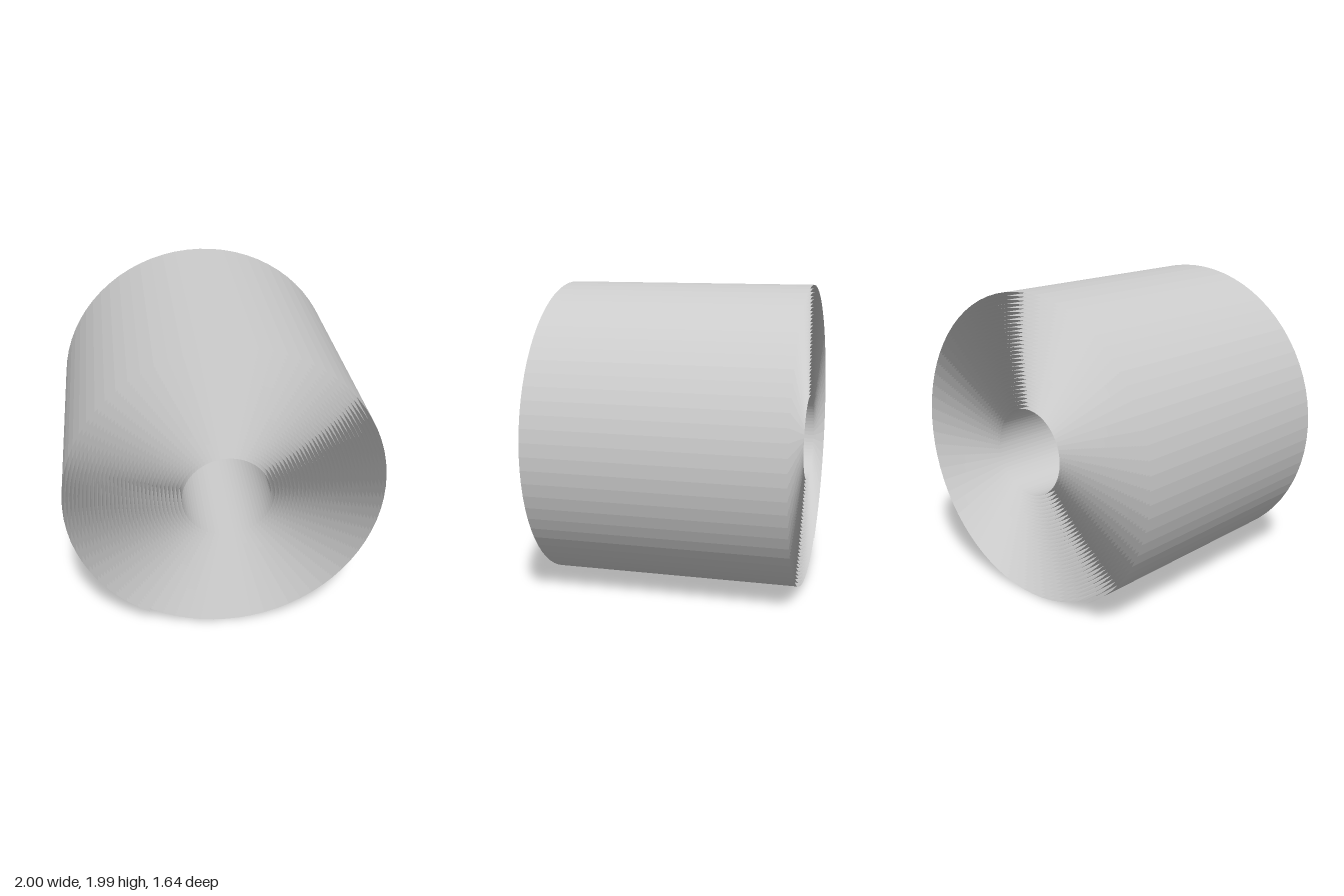
import * as THREE from 'three';

const TURNS = 30 + 2 / 3;      // the loose end stops at 240 degrees
const STEPS_PER_TURN = 72;
const INNER_RADIUS = 0.27;
const OUTER_RADIUS = 1.01;
const WIDTH = 1.64;

// A flat strip wound into a spiral around the z axis
function rolledSheet() {
  const strip = new THREE.PlaneGeometry(1, WIDTH, Math.round(TURNS * STEPS_PER_TURN), 1);
  const pos = strip.attributes.position;
  for (let i = 0; i < pos.count; i++) {
    const t = pos.getX(i) + 0.5;
    const z = pos.getY(i);
    const angle = t * TURNS * Math.PI * 2;
    const radius = THREE.MathUtils.lerp(INNER_RADIUS, OUTER_RADIUS, t);
    pos.setXYZ(i, radius * Math.cos(angle), radius * Math.sin(angle), z);
  }
  // Separate corners give each facet its own flat normal
  const faceted = strip.toNonIndexed();
  faceted.computeVertexNormals();
  return faceted;
}

export function createModel() {
  const group = new THREE.Group();
  group.name = 'roll';

  const lightGrey = new THREE.MeshStandardMaterial({
    name: 'light grey', color: 0xcccccc, flatShading: true, side: THREE.DoubleSide,
  });

  // The whole roll is one thin sheet, open at both ends
  const sheet = new THREE.Mesh(rolledSheet(), lightGrey);
  sheet.name = 'rolledSheet';

  // Rest the lowest turn on the ground and centre the uneven outline
  sheet.geometry.computeBoundingBox();
  const { min, max } = sheet.geometry.boundingBox;
  sheet.position.set(-(min.x + max.x) / 2, -min.y, 0);
  group.add(sheet);

  return group;
}
